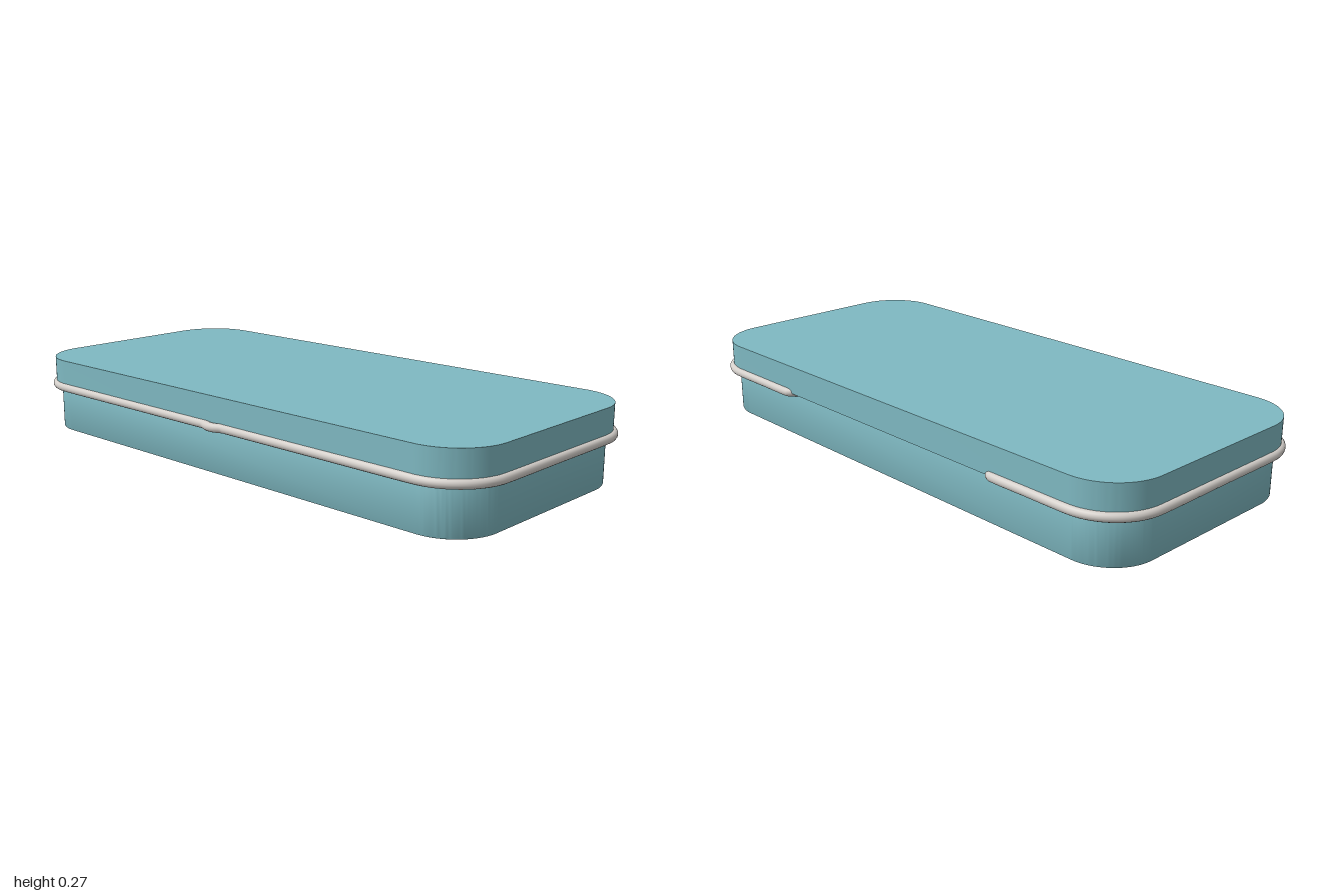
import * as THREE from 'three';
import { toCreasedNormals } from 'three/addons/utils/BufferGeometryUtils.js';

// Rounded-rectangle slab, half width hx, from z0 (back) to z1 (front), y0 to y1
function slab(name, material, hx, z0, z1, r, y0, y1, bevel) {
  const hz = (z1 - z0) / 2 - bevel, w = hx - bevel, c = r - bevel;
  const s = new THREE.Shape();
  s.absarc(w - c, hz - c, c, 0, Math.PI / 2);
  s.absarc(-w + c, hz - c, c, Math.PI / 2, Math.PI);
  s.absarc(-w + c, -hz + c, c, Math.PI, Math.PI * 1.5);
  s.absarc(w - c, -hz + c, c, Math.PI * 1.5, Math.PI * 2);
  const g = new THREE.ExtrudeGeometry(s, {
    depth: y1 - y0 - 2 * bevel, curveSegments: 16,
    bevelEnabled: bevel > 0, bevelSize: bevel, bevelThickness: bevel, bevelSegments: 2,
  });
  g.rotateX(-Math.PI / 2).translate(0, y0 + bevel, (z0 + z1) / 2);
  const mesh = new THREE.Mesh(toCreasedNormals(g, 0.6), material);
  mesh.name = name;
  return mesh;
}

export function createModel() {
  const teal = new THREE.MeshStandardMaterial({ color: 0x7fb9c2 });
  teal.name = 'teal enamel';
  const steel = new THREE.MeshStandardMaterial({ color: 0xd4cfca });
  steel.name = 'pale steel';

  const group = new THREE.Group();
  group.name = 'tin';
  group.add(slab('base', teal, 0.965, -0.43, 0.423, 0.16, 0, 0.18, 0.005));
  group.add(slab('lid', teal, 0.985, -0.452, 0.443, 0.18, 0.165, 0.265, 0));

  // Rim wire: half path from the front thumb bulge round to the inward-bent back end
  const X = 0.985, F = 0.44, B = -0.452, R = 0.18, Y = 0.165;
  const half = [[0.02, F + 0.01], [0.045, F], [0.06, F], [0.4, F]];
  const corner = (cz, from) => {
    for (let i = 0; i <= 10; i++) {
      const a = from - (i / 10) * Math.PI / 2;
      half.push([X - R + R * Math.cos(a), cz + R * Math.sin(a)]);
    }
  };
  corner(F - R, Math.PI / 2);
  half.push([X, 0]);
  corner(B + R, 0);
  half.push([0.65, B], [0.52, B], [0.505, B + 0.003], [0.485, B + 0.025]);

  // Mirror the half path to make the whole wire
  const points = [
    ...half.map(([x, z]) => new THREE.Vector3(-x, Y, z)).reverse(),
    new THREE.Vector3(0, Y, F + 0.013),
    ...half.map(([x, z]) => new THREE.Vector3(x, Y, z)),
  ];
  const path = new THREE.CatmullRomCurve3(points, false, 'centripetal');
  path.arcLengthDivisions = 1500;
  const wire = new THREE.Mesh(new THREE.TubeGeometry(path, 500, 0.015, 16), steel);
  wire.name = 'rimWire';
  group.add(wire);

  // Round caps closing the wire ends
  for (const p of [points[0], points[points.length - 1]]) {
    const cap = new THREE.Mesh(new THREE.SphereGeometry(0.015, 16, 10), steel);
    cap.position.copy(p);
    cap.name = 'wireEnd';
    group.add(cap);
  }
  return group;
}
